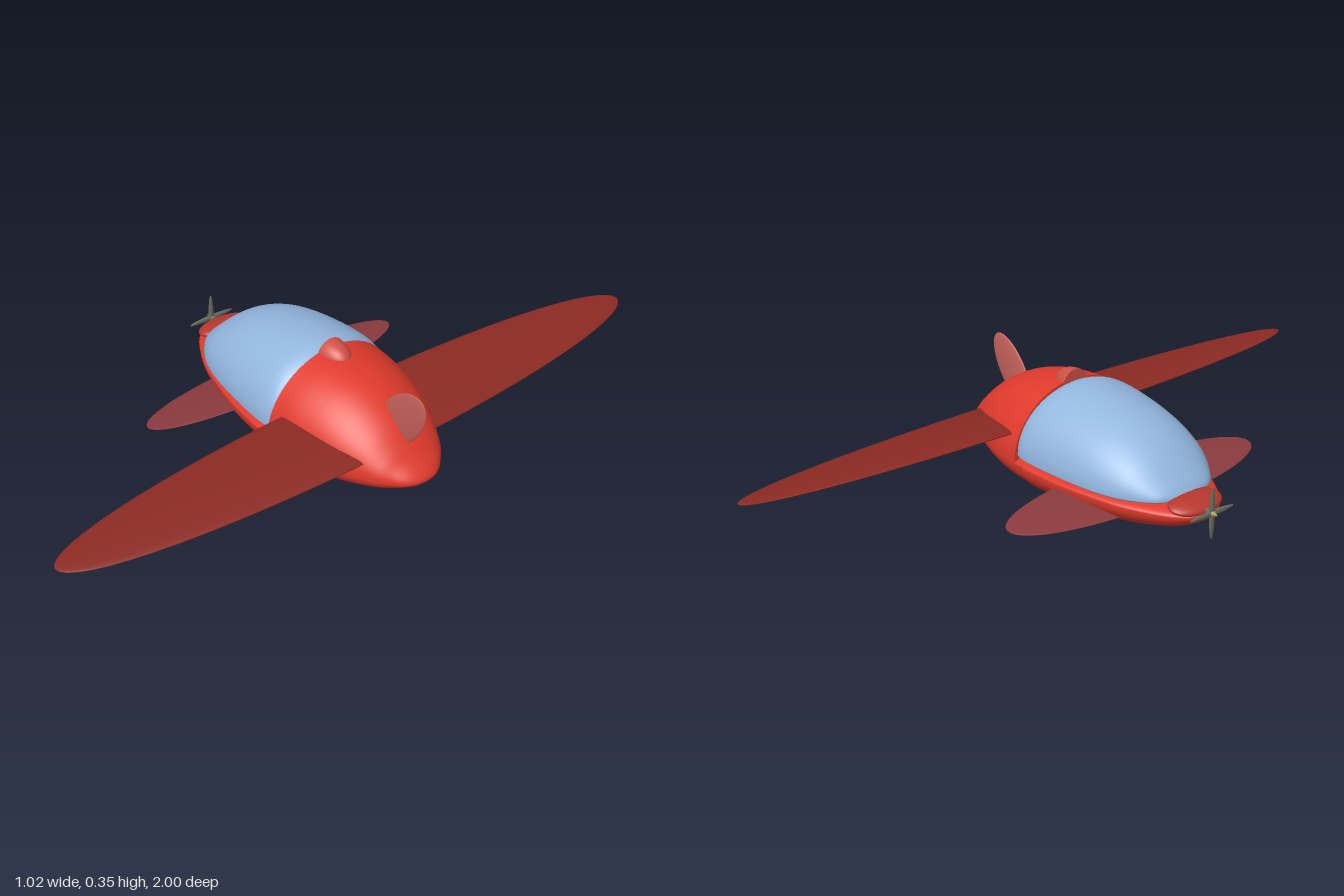
import * as THREE from 'three';

const mat = (color) => new THREE.MeshStandardMaterial({ color, side: THREE.DoubleSide });
const RED = mat(0xe03a2c), WING = mat(0x8c2a23), FOREPLANE = mat(0x8c3a3e), FIN = mat(0xc4605a);
const BUMP = mat(0xd05044), COWL = mat(0xb8382e), GLASS = mat(0x92b6de), BLADE = mat(0x666a5e), SPINNER = mat(0x9a8a3a);

function add(group, name, geometry, material) {
  const mesh = new THREE.Mesh(geometry, material);
  mesh.name = name;
  group.add(mesh);
  return mesh;
}

// Skin along x. Rows: [x, half width, bottom y, widest y, top y]; capAt closes an open end.
function loft(rows, capAt, steps = 72, sides = 64) {
  const sideCurve = new THREE.CatmullRomCurve3(rows.map((r) => new THREE.Vector3(r[0], r[1], r[3])), false, 'catmullrom');
  const heightCurve = new THREE.CatmullRomCurve3(rows.map((r) => new THREE.Vector3(r[2], r[4], 0)), false, 'catmullrom');
  const pos = [], index = [];
  const ring = (t) => {
    const s = sideCurve.getPoint(t), h = heightCurve.getPoint(t);
    for (let j = 0; j < sides; j++) {
      const a = (j / sides) * Math.PI * 2, sin = Math.sin(a);
      pos.push(s.x, s.z + sin * (sin > 0 ? h.y - s.z : s.z - h.x), Math.max(s.y, 0) * Math.cos(a));
    }
    return s;
  };
  for (let i = 0; i <= steps; i++) ring(i / steps);
  for (let i = 0; i < steps; i++) {
    for (let j = 0; j < sides; j++) {
      const k = (j + 1) % sides, a = i * sides, b = a + sides;
      index.push(a + j, b + j, b + k, a + j, b + k, a + k);
    }
  }
  if (capAt !== undefined) {
    const start = pos.length / 3, s = ring(capAt), centre = start + sides;
    pos.push(s.x, s.z, 0);
    for (let j = 0; j < sides; j++) {
      const k = (j + 1) % sides;
      if (capAt === 0) index.push(centre, start + k, start + j);
      else index.push(centre, start + j, start + k);
    }
  }
  const g = new THREE.BufferGeometry();
  g.setAttribute('position', new THREE.Float32BufferAttribute(pos, 3));
  g.setIndex(index);
  g.computeVertexNormals();
  return g;
}

// Ellipsoid with given half sizes, tilted about z
function ellipsoid(group, name, material, centre, half, tilt = 0) {
  const mesh = add(group, name, new THREE.SphereGeometry(1, 64, 40).scale(...half), material);
  mesh.position.set(...centre);
  mesh.rotation.z = tilt;
  return mesh;
}

export function createModel() {
  const plane = new THREE.Group();
  plane.name = 'aeroplane';

  // Front hull, a shallow tub below the canopy
  add(plane, 'frontHull', loft([
    [-0.475, 0, 0.115, 0.115, 0.115],
    [-0.468, 0.035, 0.1, 0.115, 0.122],
    [-0.45, 0.065, 0.085, 0.115, 0.128],
    [-0.4, 0.108, 0.06, 0.116, 0.137],
    [-0.3, 0.16, 0.033, 0.118, 0.143],
    [-0.2, 0.19, 0.017, 0.12, 0.145],
    [-0.1, 0.211, 0.008, 0.12, 0.146],
    [0, 0.222, 0.003, 0.12, 0.147],
    [0.055, 0.225, 0.001, 0.12, 0.15],
    [0.085, 0.218, 0.006, 0.12, 0.15],
  ], 1), RED);

  // Rear body with the full-height back
  add(plane, 'rearBody', loft([
    [0.095, 0.223, 0.002, 0.12, 0.325],
    [0.17, 0.217, 0.005, 0.12, 0.319],
    [0.25, 0.2, 0.013, 0.12, 0.303],
    [0.32, 0.178, 0.026, 0.12, 0.275],
    [0.38, 0.15, 0.043, 0.118, 0.238],
    [0.43, 0.121, 0.062, 0.116, 0.193],
    [0.46, 0.095, 0.075, 0.114, 0.163],
    [0.49, 0.062, 0.091, 0.112, 0.138],
    [0.505, 0.032, 0.102, 0.111, 0.122],
    [0.51, 0, 0.111, 0.111, 0.111],
  ], 0), RED);

  // Hull joint between front and rear
  add(plane, 'hullJoint', loft([
    [0.07, 0.222, 0.003, 0.12, 0.146],
    [0.08, 0.223, 0.002, 0.12, 0.146],
    [0.097, 0.223, 0.002, 0.12, 0.146],
  ], undefined, 4), RED);

  // Canopy
  add(plane, 'canopy', loft([
    [-0.402, 0, 0.14, 0.143, 0.145],
    [-0.395, 0.055, 0.135, 0.143, 0.157],
    [-0.37, 0.105, 0.13, 0.143, 0.185],
    [-0.3, 0.157, 0.12, 0.143, 0.247],
    [-0.22, 0.187, 0.12, 0.143, 0.289],
    [-0.13, 0.204, 0.12, 0.143, 0.315],
    [-0.03, 0.215, 0.12, 0.143, 0.33],
    [0.04, 0.219, 0.12, 0.143, 0.333],
    [0.075, 0.217, 0.12, 0.143, 0.327],
    [0.095, 0.211, 0.12, 0.143, 0.316],
  ], 1), GLASS);

  // Nose cowl ahead of the canopy
  ellipsoid(plane, 'noseCowl', COWL, [-0.42, 0.132, 0], [0.053, 0.02, 0.088], 0.2);

  // Wings, each pair one long ellipsoid through the body
  ellipsoid(plane, 'mainWing', WING, [0.263, 0.177, 0], [0.136, 0.015, 1], -0.14);
  ellipsoid(plane, 'foreplane', FOREPLANE, [-0.173, 0.09, 0], [0.113, 0.01, 0.445], 0.15);

  // Tail fin leaning back
  ellipsoid(plane, 'tailFin', FIN, [0.398, 0.25, 0], [0.125, 0.065, 0.009], 0.87);

  // Half-dome intake behind the canopy, flat face forward
  const intake = new THREE.Group();
  intake.name = 'intake';
  const dome = new THREE.SphereGeometry(1, 40, 20, 0, Math.PI * 2, 0, Math.PI / 2).rotateZ(-Math.PI / 2);
  add(intake, 'intakeDome', dome.scale(0.078, 0.045, 0.045), BUMP);
  add(intake, 'intakeFace', new THREE.CircleGeometry(0.045, 40).rotateY(-Math.PI / 2), BUMP);
  intake.position.set(0.094, 0.307, 0);
  plane.add(intake);

  // Propeller with crossed blades, spinner and shaft
  const propeller = new THREE.Group();
  propeller.name = 'propeller';
  for (let i = 0; i < 2; i++) {
    const blades = ellipsoid(propeller, 'bladePair', BLADE, [0, 0, 0], [0.006, 0.079, 0.009]);
    blades.rotation.x = (i * Math.PI) / 2;
  }
  const spinner = add(propeller, 'spinner', new THREE.ConeGeometry(0.012, 0.022, 24).rotateZ(Math.PI / 2), SPINNER);
  spinner.position.x = -0.011;
  const shaft = add(propeller, 'shaft', new THREE.CylinderGeometry(0.009, 0.009, 0.035, 24).rotateZ(Math.PI / 2), BLADE);
  shaft.position.x = 0.015;
  propeller.position.set(-0.488, 0.124, 0);
  plane.add(propeller);

  return plane;
}
